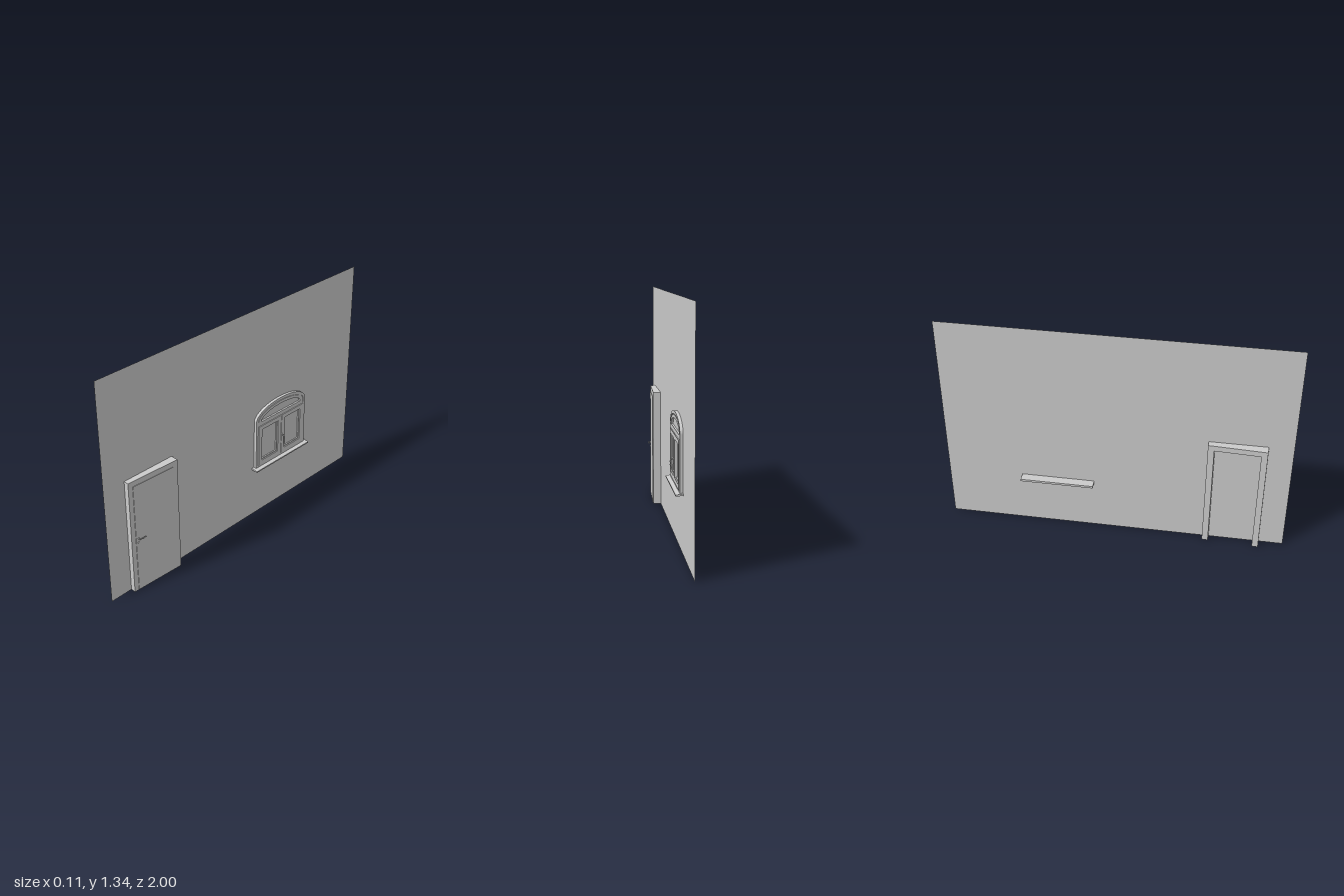
import * as THREE from 'three';

const material = new THREE.MeshStandardMaterial({ color: 0xcccccc, side: THREE.DoubleSide });
const WALL_X = -0.003;

function add(parent, name, geometry, x = 0, y = 0, z = 0) {
  const mesh = new THREE.Mesh(geometry, material);
  mesh.name = name;
  mesh.position.set(x, y, z);
  parent.add(mesh);
  return mesh;
}

function box(parent, name, w, h, d, x, y, z) {
  return add(parent, name, new THREE.BoxGeometry(w, h, d), x, y, z);
}

// Closed outline with straight jambs and a half-elliptic head
function arch(PathType, halfWidth, bottom, spring, top) {
  const p = new PathType();
  p.moveTo(-halfWidth, bottom);
  p.lineTo(halfWidth, bottom);
  p.lineTo(halfWidth, spring);
  p.absellipse(0, spring, halfWidth, top - spring, 0, Math.PI, false);
  p.lineTo(-halfWidth, bottom);
  return p;
}

function rectangle(PathType, x0, y0, x1, y1) {
  const p = new PathType();
  p.moveTo(x0, y0);
  p.lineTo(x1, y0);
  p.lineTo(x1, y1);
  p.lineTo(x0, y1);
  p.closePath();
  return p;
}

// Ring between two outlines, from depth z0 to z1
function ring(parent, name, outer, hole, z0, z1) {
  if (hole) outer.holes.push(hole);
  const g = new THREE.ExtrudeGeometry(outer, { depth: z1 - z0, bevelEnabled: false, curveSegments: 24 });
  return add(parent, name, g, 0, 0, z0);
}

function createWindow() {
  const w = new THREE.Group();
  w.name = 'archedWindow';

  // Outer surround and the fixed frame inside it
  ring(w, 'surround', arch(THREE.Shape, 0.216, 0.325, 0.635, 0.72),
    arch(THREE.Path, 0.2, 0.335, 0.63, 0.704), WALL_X, 0.014);
  ring(w, 'fixedFrame', arch(THREE.Shape, 0.2, 0.335, 0.63, 0.704),
    arch(THREE.Path, 0.19, 0.34, 0.625, 0.694), WALL_X, 0.009);

  // Fanlight above the transom
  box(w, 'transom', 0.4, 0.01, 0.013, 0, 0.604, 0.006);
  ring(w, 'fanlightFrame', arch(THREE.Shape, 0.196, 0.609, 0.628, 0.699),
    arch(THREE.Path, 0.172, 0.625, 0.628, 0.68), WALL_X, 0.013);
  add(w, 'fanlightPane', new THREE.ShapeGeometry(arch(THREE.Shape, 0.176, 0.62, 0.628, 0.682), 24), 0, 0, 0.002);

  // Pair of opening casements
  for (const s of [-1, 1]) {
    const c = new THREE.Group();
    c.name = s < 0 ? 'leftCasement' : 'rightCasement';
    c.position.x = s * 0.0995;
    ring(c, 'sash', rectangle(THREE.Shape, -0.0975, 0.338, 0.0975, 0.6),
      rectangle(THREE.Path, -0.07, 0.365, 0.07, 0.574), WALL_X, 0.018);
    ring(c, 'glazingBead', rectangle(THREE.Shape, -0.07, 0.365, 0.07, 0.574),
      rectangle(THREE.Path, -0.064, 0.371, 0.064, 0.568), WALL_X, 0.011);
    add(c, 'pane', new THREE.PlaneGeometry(0.13, 0.2), 0, 0.469, 0.003);
    w.add(c);
  }

  // Casement handle
  box(w, 'handlePlate', 0.01, 0.035, 0.005, 0.004, 0.455, 0.02);
  const grip = new THREE.CatmullRomCurve3([
    new THREE.Vector3(0.004, 0.463, 0.02), new THREE.Vector3(0.004, 0.465, 0.035),
    new THREE.Vector3(0.007, 0.44, 0.038), new THREE.Vector3(0.006, 0.412, 0.037),
  ]);
  add(w, 'handleGrip', new THREE.TubeGeometry(grip, 16, 0.004, 8));

  // Outside sill, sloping slightly, and the board on the other side of the wall
  const sill = new THREE.Shape();
  sill.moveTo(WALL_X, 0.328);
  sill.lineTo(0.038, 0.322);
  sill.lineTo(0.038, 0.314);
  sill.lineTo(WALL_X, 0.317);
  const sillGeometry = new THREE.ExtrudeGeometry(sill, { depth: 0.468, bevelEnabled: false });
  sillGeometry.rotateY(-Math.PI / 2);
  add(w, 'outerSill', sillGeometry, 0.234);
  box(w, 'innerSill', 0.43, 0.014, 0.052, 0, 0.327, -0.029);

  w.rotation.y = Math.PI / 2;
  w.position.z = -0.342;
  return w;
}

function createDoor() {
  const d = new THREE.Group();
  d.name = 'door';

  // Deep frame: two jambs and a head
  for (const s of [-1, 1]) {
    box(d, s < 0 ? 'leftJamb' : 'rightJamb', 0.036, 0.703, 0.083, s * 0.1485, 0.3515, 0);
  }
  box(d, 'head', 0.261, 0.034, 0.083, 0, 0.686, 0);

  // Leaf standing just proud of the frame
  box(d, 'leaf', 0.276, 0.668, 0.018, 0, 0.337, 0.0355);

  // Lever handle and keyhole rosette
  const rosette = new THREE.CylinderGeometry(0.006, 0.006, 0.003, 16).rotateX(Math.PI / 2);
  add(d, 'handleRosette', rosette, -0.122, 0.338, 0.046);
  add(d, 'keyRosette', rosette, -0.122, 0.312, 0.046);
  const lever = new THREE.CurvePath();
  const a = new THREE.Vector3(-0.122, 0.338, 0.045);
  const b = new THREE.Vector3(-0.122, 0.338, 0.057);
  const c = new THREE.Vector3(-0.08, 0.338, 0.057);
  lever.add(new THREE.LineCurve3(a, b));
  lever.add(new THREE.LineCurve3(b, c));
  add(d, 'handleLever', new THREE.TubeGeometry(lever, 24, 0.003, 8));

  d.rotation.y = Math.PI / 2 - 0.047;
  d.position.set(-0.006, 0, 0.693);
  return d;
}

export function createModel() {
  const model = new THREE.Group();
  model.name = 'wallWithDoorAndWindow';

  // Thin wall sheet
  const wall = add(model, 'wall', new THREE.PlaneGeometry(2, 1.335), WALL_X, 0.6675, 0);
  wall.rotation.y = Math.PI / 2;

  model.add(createWindow(), createDoor());
  return model;
}
